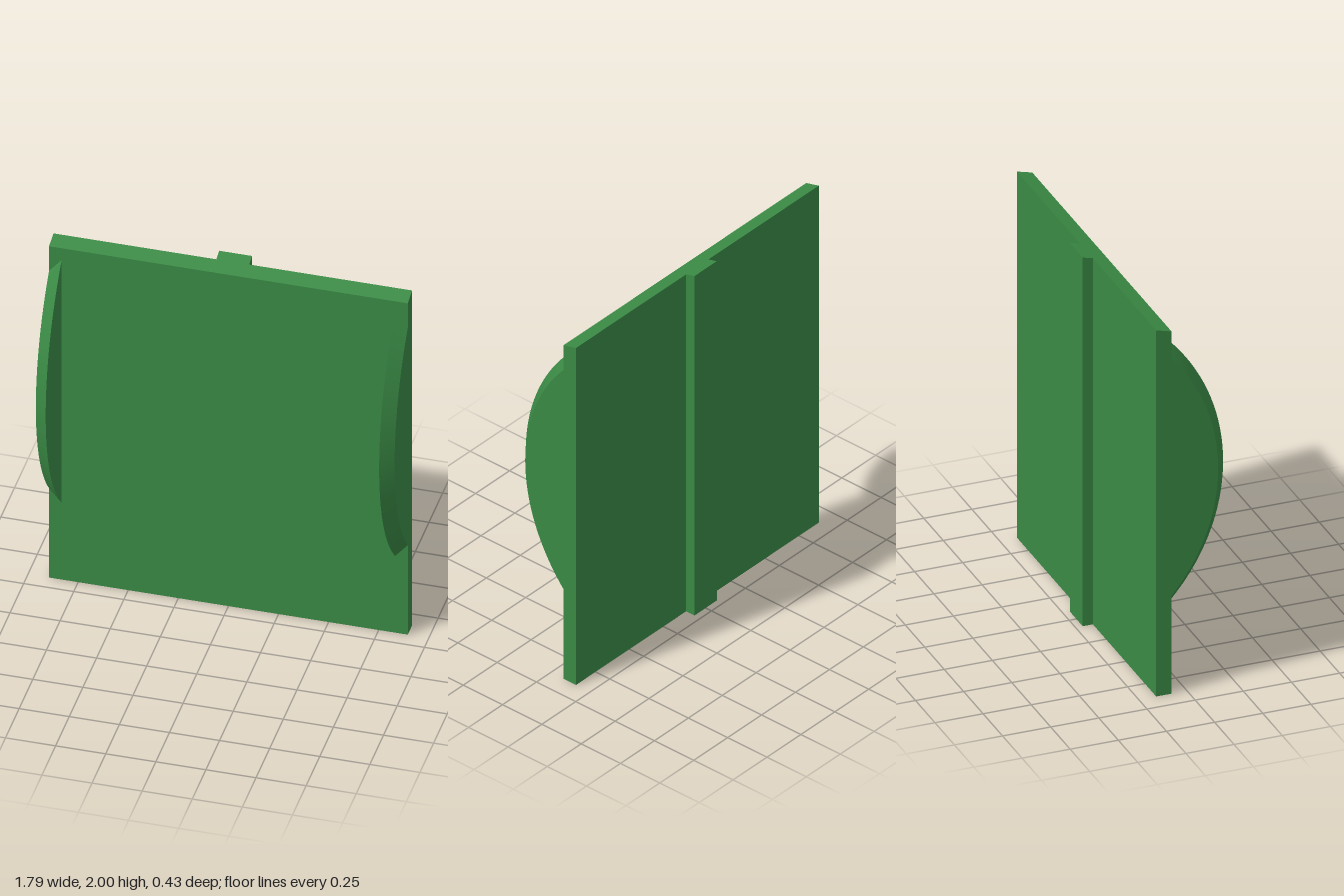
import * as THREE from 'three';
import { toCreasedNormals } from 'three/addons/utils/BufferGeometryUtils.js';

const green = new THREE.MeshStandardMaterial({ color: 0x3a8a45 });
green.name = 'green';

// Extrudes a side profile of [z, y] points along x, from xMax down to xMin
function extrudeAlongX(points, xMin, xMax) {
  const shape = new THREE.Shape(points.map(([z, y]) => new THREE.Vector2(z, y)));
  const geometry = new THREE.ExtrudeGeometry(shape, { depth: xMax - xMin, bevelEnabled: false });
  return geometry.rotateY(-Math.PI / 2).translate(xMax, 0, 0);
}

function addPart(group, name, geometry) {
  const mesh = new THREE.Mesh(geometry, green);
  mesh.name = name;
  group.add(mesh);
  return mesh;
}

const FRONT = -0.08, MIDDLE = -0.16, BACK = -0.213;

// Curved side fin with its rim chamfered toward the outside, centred on y = 0
function finGeometry() {
  const centreZ = -0.818, innerRadius = 1.031, outerRadius = 0.98;
  const innerX = -0.832, outerX = -0.895;
  const halfHeight = (r) => Math.sqrt(r * r - (FRONT - centreZ) ** 2);
  const reach = Math.asin(halfHeight(innerRadius) / innerRadius);
  const points = [];
  const steps = 48;
  for (let i = 0; i <= steps; i++) {
    const a = reach * (2 * i / steps - 1);
    points.push([centreZ + innerRadius * Math.cos(a), innerRadius * Math.sin(a)]);
  }
  const geometry = extrudeAlongX(points, outerX, innerX);

  // Shrink the outer face onto the smaller arc
  const shrink = halfHeight(outerRadius) / halfHeight(innerRadius);
  const p = geometry.attributes.position;
  for (let i = 0; i < p.count; i++) {
    if (p.getX(i) > outerX + 0.01) continue;
    const y = p.getY(i) * shrink;
    p.setY(i, y);
    p.setZ(i, centreZ + Math.sqrt(outerRadius ** 2 - y * y));
  }
  return toCreasedNormals(geometry, 0.4);
}

export function createModel() {
  const group = new THREE.Group();
  group.name = 'panelWithSideFins';

  // Main panel and back rib share one sloping top
  addPart(group, 'panel', extrudeAlongX(
    [[MIDDLE, 0], [FRONT, 0], [FRONT, 1.965], [MIDDLE, 1.986]], -0.895, 0.895));
  addPart(group, 'backRib', extrudeAlongX(
    [[BACK, 0], [MIDDLE, 0], [MIDDLE, 1.986], [BACK, 2]], -0.082, 0.082));

  // Fins: a half turn about z mirrors the right one to the left
  const fin = finGeometry();
  for (const [name, turn] of [['rightFin', 0], ['leftFin', Math.PI]]) {
    const mesh = addPart(group, name, fin);
    mesh.position.y = 1.175;
    mesh.rotation.z = turn;
  }
  return group;
}
